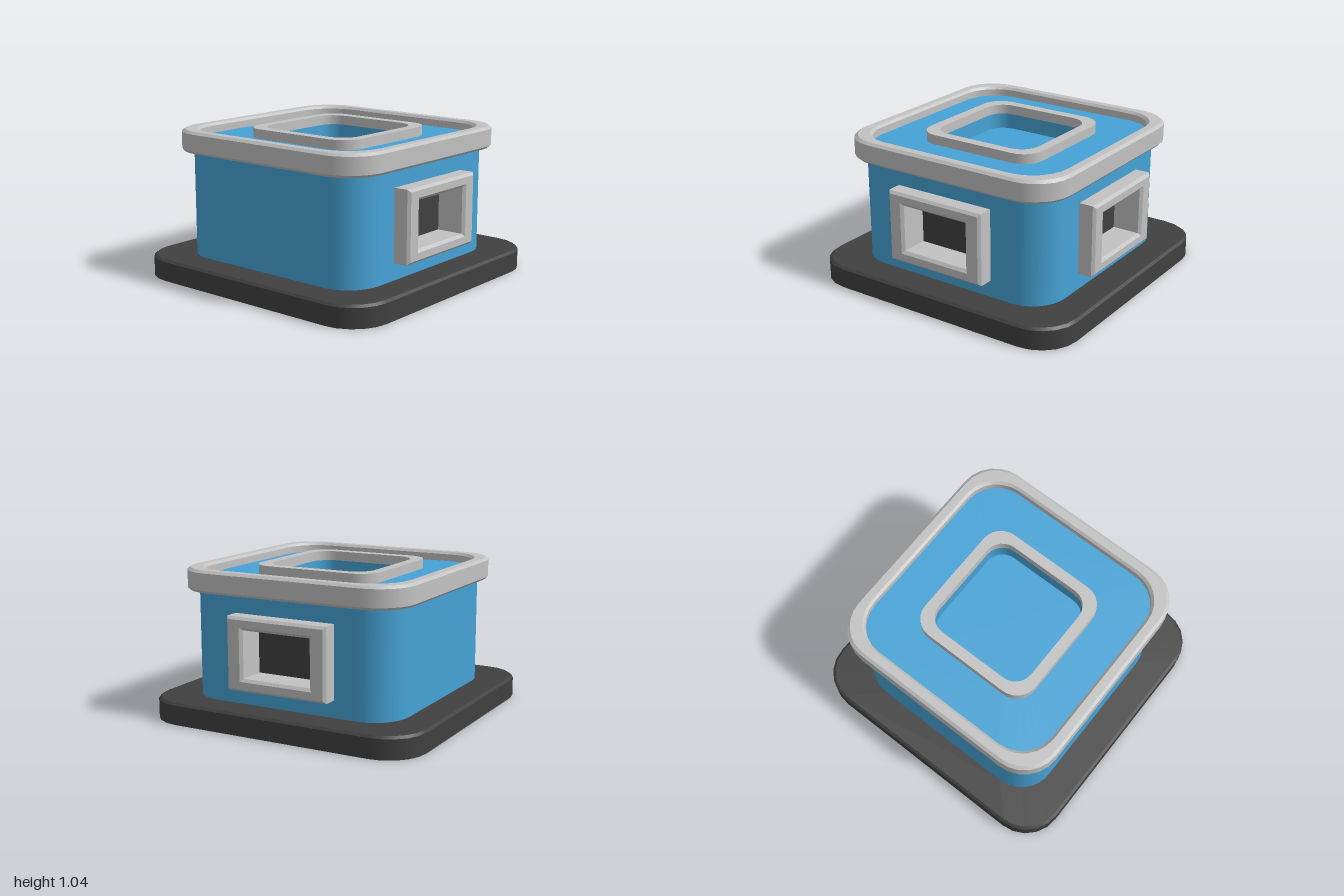
import * as THREE from 'three';

const mat = (name, color) =>
  new THREE.MeshStandardMaterial({ name, color, side: THREE.DoubleSide });

// Rounded-rectangle shell lofted through rows of [halfX, y, cornerRadius, halfZ].
// Smooth around the corners, sharp between rows. Sides listed in skip stay open.
function shell(rows, segs = 6, skip = []) {
  const pos = [], nor = [], idx = [];
  const ring = [];
  for (let c = 0; c < 4; c++) {
    const sx = c === 0 || c === 3 ? 1 : -1, sz = c < 2 ? 1 : -1;
    for (let i = 0; i <= segs; i++) {
      const a = (c + i / segs) * Math.PI / 2;
      ring.push([sx, sz, Math.cos(a), Math.sin(a)]);
    }
  }
  const n = ring.length;
  for (let k = 0; k + 1 < rows.length; k++) {
    const pair = [rows[k], rows[k + 1]];
    const dh = pair[1][0] - pair[0][0], dy = pair[1][1] - pair[0][1];
    const len = Math.hypot(dh, dy), base = pos.length / 3;
    for (const [hx, y, r, hz = hx] of pair) {
      for (const [sx, sz, ca, sa] of ring) {
        pos.push(sx * (hx - r) + r * ca, y, sz * (hz - r) + r * sa);
        nor.push(ca * dy / len, -dh / len, sa * dy / len);
      }
    }
    for (let j = 0; j < n; j++) {
      const isSide = j % (segs + 1) === segs;
      if (isSide && skip.includes(Math.floor(j / (segs + 1)))) continue;
      if (!isSide && pair[0][2] + pair[1][2] === 0) continue;
      const a = base + j, b = base + (j + 1) % n;
      idx.push(a, a + n, b, b, a + n, b + n);
    }
  }
  const g = new THREE.BufferGeometry();
  g.setAttribute('position', new THREE.Float32BufferAttribute(pos, 3));
  g.setAttribute('normal', new THREE.Float32BufferAttribute(nor, 3));
  g.setIndex(idx);
  return g;
}

function rectPath(path, x0, y0, x1, y1) {
  path.moveTo(x0, y0);
  path.lineTo(x1, y0);
  path.lineTo(x1, y1);
  path.lineTo(x0, y1);
  path.closePath();
  return path;
}

export function createModel() {
  const model = new THREE.Group();
  model.name = 'building';
  const blue = mat('wallBlue', 0x46a3d6);
  const grey = mat('trimGrey', 0xc2c2c2);
  const dark = mat('baseDark', 0x404040);
  const add = (parent, name, geometry, material) => {
    const mesh = new THREE.Mesh(geometry, material);
    mesh.name = name;
    parent.add(mesh);
    return mesh;
  };

  const H = 0.78, R = 0.25, Y0 = 0.15, Y1 = 0.885, ROOF = 0.97;

  // Plinth, open underneath
  add(model, 'plinth', shell([
    [1, 0, 0.27], [1, 0.135, 0.27], [0.982, Y0, 0.255], [H, Y0, R],
  ], 5), dark);

  // Walls; the two window sides are added separately
  add(model, 'walls', shell([[H, Y0, R], [H, Y1, R]], 8, [0, 3]), blue);

  // Rim around the roof
  add(model, 'roofRim', shell([
    [H, Y1, R], [0.827, Y1, 0.25], [0.842, 0.902, 0.26], [0.842, 1.02, 0.26],
    [0.822, 1.037, 0.25], [0.767, 1.037, 0.26], [0.75, 1.02, 0.25], [0.75, ROOF, 0.25],
  ]), grey);

  // Flat roof, raised hatch ring and sunken hatch
  add(model, 'roof', shell([[0.75, ROOF, 0.25], [0.462, ROOF, 0.15]]), blue);
  add(model, 'hatchRing', shell([
    [0.462, ROOF, 0.15], [0.462, 1.037, 0.15], [0.388, 1.037, 0.13], [0.388, ROOF, 0.13],
  ]), grey);
  add(model, 'hatchWell', shell([
    [0.388, ROOF, 0.13], [0.388, 0.86, 0.13], [0, 0.86, 0],
  ]), blue);

  // Window sides: wall with opening, framed reveal and recessed pane
  const CY = 0.517, PANE = 0.69;
  const wallShape = rectPath(new THREE.Shape(), R - H, Y0, H - R, Y1);
  wallShape.holes.push(rectPath(new THREE.Path(), -0.372, CY - 0.249, 0.372, CY + 0.249));
  const wallGeo = new THREE.ShapeGeometry(wallShape).translate(0, 0, H);
  const frameGeo = shell([
    [0.372, H, 0, 0.249], [0.372, 0.88, 0, 0.249], [0.354, 0.898, 0, 0.231],
    [0.272, 0.898, 0, 0.182], [0.252, 0.88, 0, 0.162], [0.252, PANE, 0, 0.162],
  ], 1).rotateX(Math.PI / 2).translate(0, CY, 0);
  const paneGeo = new THREE.PlaneGeometry(0.504, 0.324).translate(0, CY, PANE);

  for (const [name, turn] of [['frontSide', 0], ['leftSide', Math.PI / 2]]) {
    const side = new THREE.Group();
    side.name = name;
    side.rotation.y = turn;
    add(side, 'windowWall', wallGeo, blue);
    add(side, 'windowFrame', frameGeo, grey);
    add(side, 'windowPane', paneGeo, dark);
    model.add(side);
  }
  return model;
}
